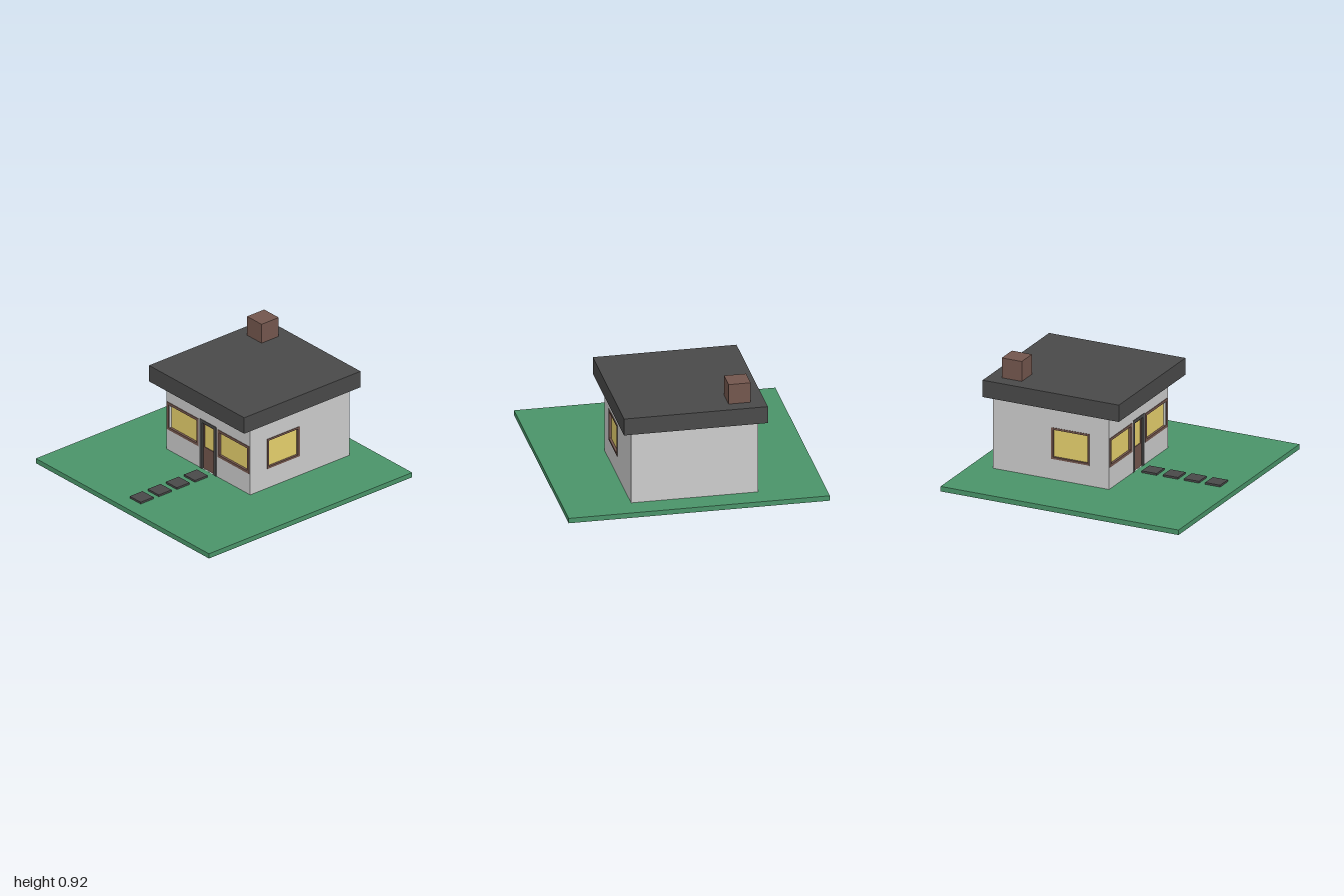
import * as THREE from 'three';

const mat = (color) => new THREE.MeshStandardMaterial({ color, flatShading: true });

export function createModel() {
  const house = new THREE.Group();
  house.name = 'house';
  const grey = mat(0xcccccc), green = mat(0x4a9469), dark = mat(0x494949);
  const brown = mat(0x73564d), yellow = mat(0xe6d06d);

  // Box given by its min and max corners
  function box(name, material, [x0, y0, z0], [x1, y1, z1], parent = house) {
    const mesh = new THREE.Mesh(new THREE.BoxGeometry(x1 - x0, y1 - y0, z1 - z0), material);
    mesh.position.set((x0 + x1) / 2, (y0 + y1) / 2, (z0 + z1) / 2);
    mesh.name = name;
    parent.add(mesh);
    return mesh;
  }

  const rect = (C, x0, y0, x1, y1) => new C([[x0, y0], [x1, y0], [x1, y1], [x0, y1]]
    .map(([x, y]) => new THREE.Vector2(x, y)));

  // Upright slab with rectangular openings, its outer face at z = front
  function panel(name, material, outer, holes, depth, front, parent) {
    const shape = rect(THREE.Shape, ...outer);
    shape.holes = holes.map((h) => rect(THREE.Path, ...h));
    const geometry = new THREE.ExtrudeGeometry(shape, { depth, bevelEnabled: false });
    const mesh = new THREE.Mesh(geometry, material);
    mesh.position.z = front - depth;
    mesh.name = name;
    parent.add(mesh);
  }

  // Frame with a recessed pane, on a wall whose outer face is z = 0
  function windowUnit(name, [x0, y0, x1, y1], border, parent) {
    const unit = new THREE.Group();
    unit.name = name;
    const inner = [x0 + border, y0 + border, x1 - border, y1 - border];
    panel('windowFrame', brown, [x0, y0, x1, y1], [inner], 0.03, 0.004, unit);
    box('windowPane', yellow, [inner[0], inner[1], -0.025], [inner[2], inner[3], -0.015], unit);
    parent.add(unit);
  }

  // A wall side: local +z points outward
  function side(name, x, z, angle) {
    const group = new THREE.Group();
    group.name = name;
    group.position.set(x, 0, z);
    group.rotation.y = angle;
    house.add(group);
    return group;
  }

  const base = 0.04, top = 0.63, half = 0.485, front = 0.155, back = -0.82;
  const midZ = (front + back) / 2, halfZ = (front - back) / 2, thick = 0.04;

  box('lawn', green, [-1, 0, -1], [1, base, 1]);

  // Front wall with two windows and the door
  const face = side('frontSide', 0, front, 0);
  const openings = [[-0.475, 0.213, -0.11, 0.445], [0.11, 0.213, 0.475, 0.445]];
  const doorway = [-0.094, base, 0.094, 0.455];
  panel('frontWall', grey, [-half, base, half, top], [...openings, [-0.094, base + 0.001, 0.094, 0.455]],
    thick, 0, face);
  openings.forEach((o) => windowUnit('frontWindow', o, 0.021, face));

  // Door with jambs, lintel and a glazed upper part
  box('doorJamb', dark, [doorway[0], base, -0.035], [-0.068, 0.455, 0.004], face);
  box('doorJamb', dark, [0.068, base, -0.035], [doorway[2], 0.455, 0.004], face);
  box('doorLintel', dark, [-0.068, 0.43, -0.035], [0.068, 0.455, 0.004], face);
  panel('door', brown, [-0.068, base, 0.068, 0.43], [[-0.056, 0.225, 0.056, 0.415]], 0.02, -0.01, face);
  box('doorPane', yellow, [-0.056, 0.225, -0.025], [0.056, 0.415, -0.016], face);

  // Side walls, mirrored, one window each
  for (const s of [-1, 1]) {
    const wall = side(s > 0 ? 'leftSide' : 'rightSide', s * half, midZ, s * Math.PI / 2);
    const a = -s * (-0.01 - midZ), b = -s * (-0.33 - midZ);
    const opening = [Math.min(a, b), 0.203, Math.max(a, b), 0.455];
    panel('sideWall', grey, [-halfZ, base, halfZ, top], [opening], thick, 0, wall);
    windowUnit('sideWindow', opening, 0.016, wall);
  }

  box('backWall', grey, [-half, base, back], [half, top, back + thick]);

  // Flat overhanging roof and chimney
  box('roof', dark, [-0.55, 0.625, -0.875], [0.55, 0.76, 0.27]);
  box('chimney', brown, [-0.44, 0.74, -0.77], [-0.272, 0.92, -0.602]);

  // Stepping stones
  for (let i = 0; i < 4; i++) {
    const z = 0.277 + i * 0.178;
    box('steppingStone', dark, [-0.063, base, z - 0.063], [0.063, 0.055, z + 0.063]);
  }
  return house;
}
